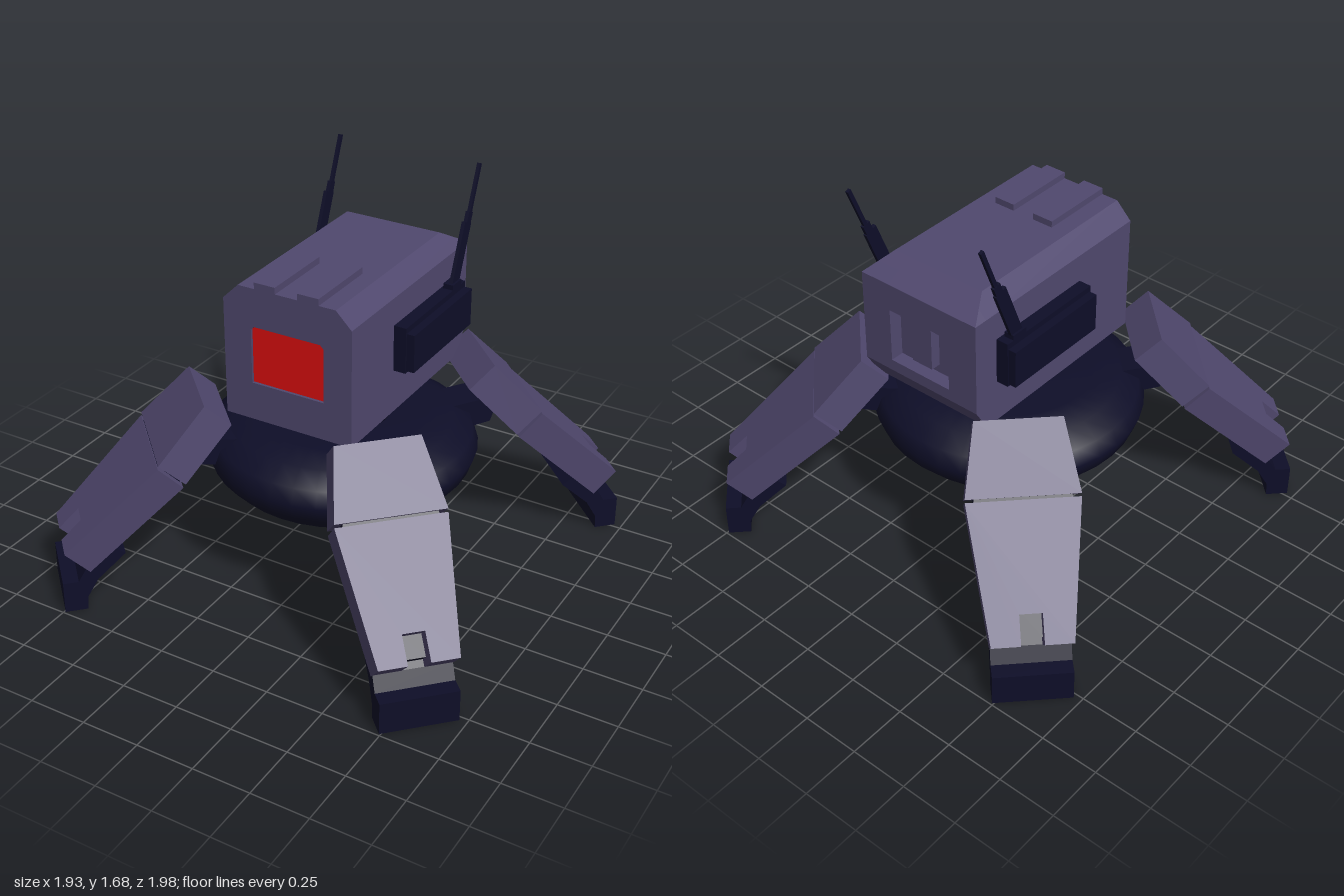
import * as THREE from 'three';
import { ConvexGeometry } from 'three/addons/geometries/ConvexGeometry.js';

const paint = (name, color) => {
  const m = new THREE.MeshStandardMaterial({ color });
  m.name = name;
  return m;
};

export function createModel() {
  const model = new THREE.Group();
  model.name = 'walker';
  const armour = paint('purple armour', 0x50486e);
  const dark = paint('dark metal', 0x0e0e28);
  const red = paint('red screen', 0xdc0f0f);

  const add = (parent, name, geo, mat) => {
    const m = new THREE.Mesh(geo, mat);
    m.name = name;
    parent.add(m);
    return m;
  };
  // Box given by its limits on each axis
  const box = (parent, name, mat, [x0, x1], [y0, y1], [z0, z1]) => {
    const m = add(parent, name, new THREE.BoxGeometry(x1 - x0, y1 - y0, z1 - z0), mat);
    m.position.set((x0 + x1) / 2, (y0 + y1) / 2, (z0 + z1) / 2);
    return m;
  };
  const hull = (pts) => new ConvexGeometry(pts.map((p) => new THREE.Vector3(...p)));
  const both = (pts) => pts.flatMap(([x, y, z]) => [[x, y, z], [-x, y, z]]);
  const shapeOf = (pts) => new THREE.Shape(pts.map((p) => new THREE.Vector2(...p)));
  const extrude = (shape, depth) => new THREE.ExtrudeGeometry(shape, { depth, bevelEnabled: false });
  const lathe = (pts, n) => new THREE.LatheGeometry(pts.map((p) => new THREE.Vector2(...p)), n);

  // Round base and neck
  add(model, 'base', lathe([[0, 0.37], [0.31, 0.37], [0.41, 0.39], [0.49, 0.425], [0.55, 0.49], [0.575, 0.56],
    [0.55, 0.63], [0.47, 0.68], [0.36, 0.706], [0, 0.706]], 36), dark);
  add(model, 'neck', lathe([[0.2, 0.69], [0.23, 0.74], [0.23, 0.78], [0.215, 0.82]], 24), dark);

  // Main cabin, with its rear edges cut back
  const cabin = new THREE.Group();
  cabin.name = 'cabin';
  model.add(cabin);
  add(cabin, 'cabinBody', hull(both([
    [0.29, 0.81, 0.4], [0.29, 1.32, 0.4], [0.22, 1.39, 0.4],
    [0.22, 1.39, -0.42], [0.255, 1.355, -0.48], [0.29, 1.32, -0.48], [0.29, 0.81, -0.48],
  ])), armour);

  // Front frame around the recessed screen
  const face = shapeOf([[-0.29, 0.81], [0.29, 0.81], [0.29, 1.32], [0.22, 1.39], [-0.22, 1.39], [-0.29, 1.32]]);
  face.holes.push(new THREE.Path([[-0.165, 0.975], [-0.165, 1.21], [-0.15, 1.225], [0.15, 1.225],
    [0.165, 1.21], [0.165, 0.975]].map((p) => new THREE.Vector2(...p))));
  add(cabin, 'frontFrame', extrude(face, 0.02), armour).position.z = 0.4;
  box(cabin, 'screen', red, [-0.165, 0.165], [0.975, 1.225], [0.4, 0.408]);

  // Rear frame around an open bay with a central block
  for (const s of [-1, 1]) {
    add(cabin, 'rearColumn', hull([
      [0.15, 0.81, -0.48], [0.29, 0.81, -0.48], [0.15, 0.91, -0.54], [0.29, 0.91, -0.54],
      [0.15, 1.32, -0.54], [0.29, 1.32, -0.54], [0.29, 1.32, -0.48], [0.255, 1.355, -0.48], [0.15, 1.355, -0.48],
    ].map(([x, y, z]) => [s * x, y, z])), armour);
  }
  add(cabin, 'rearLintel', hull(both([[0.15, 1.2, -0.48], [0.15, 1.2, -0.54], [0.15, 1.32, -0.54],
    [0.15, 1.355, -0.48]])), armour);
  add(cabin, 'rearSill', hull(both([[0.15, 0.81, -0.48], [0.15, 0.91, -0.54], [0.15, 0.96, -0.54],
    [0.15, 0.96, -0.48]])), armour);
  box(cabin, 'rearBlock', armour, [-0.05, 0.05], [1.0, 1.2], [-0.525, -0.48]);

  for (const s of [-1, 1]) {
    const span = (a, b) => (s > 0 ? [a, b] : [-b, -a]);
    // Roof strips and side pods
    box(cabin, 'roofStrip', armour, span(0.05, 0.145), [1.385, 1.418], [0.09, 0.42]);
    box(cabin, 'podBase', dark, span(0.285, 0.345), [1.0, 1.2], [-0.42, 0.09]);
    box(cabin, 'podCover', dark, span(0.345, 0.38), [1.01, 1.175], [-0.415, 0.085]);
    box(cabin, 'antennaMount', dark, span(0.3, 0.345), [1.2, 1.222], [-0.385, -0.31]);
    // Leaning antenna in three steps
    const antenna = new THREE.Group();
    antenna.name = 'antenna';
    antenna.position.set(s * 0.328, 1.19, -0.342);
    antenna.rotation.x = -0.385;
    cabin.add(antenna);
    box(antenna, 'antennaBase', dark, [-0.008, 0.008], [0, 0.28], [-0.03, 0.03]);
    box(antenna, 'antennaCollar', dark, [-0.008, 0.008], [0.28, 0.325], [-0.025, 0.012]);
    box(antenna, 'antennaRod', dark, [-0.007, 0.007], [0.32, 0.525], [-0.018, 0]);
  }

  // Legs: local x runs outward, z across the leg
  const slab = (leg, name, mat, pts, depth, x, y, tilt) => {
    const c = Math.cos(tilt), s = Math.sin(tilt);
    const geo = extrude(shapeOf(pts), depth);
    geo.applyMatrix4(new THREE.Matrix4().makeBasis(
      new THREE.Vector3(c, -s, 0), new THREE.Vector3(0, 0, -1), new THREE.Vector3(s, c, 0)).setPosition(x, y, 0));
    return add(leg, name, geo, mat);
  };
  const profile = (leg, name, mat, pts, width) => {
    add(leg, name, extrude(shapeOf(pts), width), mat).position.z = -width / 2;
  };
  const thighTilt = 0.82, shinTilt = 0.777;

  for (const sx of [-1, 1]) for (const sz of [-1, 1]) {
    const leg = new THREE.Group();
    leg.name = (sz > 0 ? 'front' : 'rear') + (sx > 0 ? 'Left' : 'Right') + 'Leg';
    leg.position.z = sz * 0.025;
    leg.rotation.y = Math.atan2(-sz, sx);
    model.add(leg);

    // Thigh and shin armour, the shin notched at its end
    slab(leg, 'thigh', armour, [[0, -0.175], [0.298, -0.225], [0.298, 0.225], [0, 0.175]],
      0.146, 0.488, 0.8, thighTilt);
    slab(leg, 'shin', armour, [[0, -0.225], [0.55, -0.16], [0.55, -0.045], [0.43, -0.045],
      [0.43, 0.045], [0.55, 0.045], [0.55, 0.16], [0, 0.225]], 0.14, 0.702, 0.568, shinTilt);

    // Dark joint, underside strip and ankle tongue
    slab(leg, 'knee', dark, [[0.2, -0.19], [0.4, -0.19], [0.4, 0.19], [0.2, 0.19]],
      0.12, 0.497, 0.808, thighTilt);
    slab(leg, 'shinStrip', dark, [[0.01, -0.075], [0.5, -0.065], [0.5, 0.065], [0.01, 0.075]],
      0.02, 0.698, 0.563, shinTilt);
    slab(leg, 'ankleTongue', dark, [[0.41, -0.044], [0.52, -0.044], [0.52, 0.044], [0.41, 0.044]],
      0.08, 0.702, 0.568, shinTilt);

    // Hip arm joining the base, and the bent foot
    profile(leg, 'hipArm', dark, [[0.4, 0.54], [0.62, 0.58], [0.66, 0.7], [0.42, 0.67]], 0.16);
    profile(leg, 'foot', dark, [[1.115, 0], [1.21, 0], [1.21, 0.14], [1.145, 0.14], [1.11, 0.2],
      [1.01, 0.3], [0.945, 0.25], [1.065, 0.14], [1.112, 0.06]], 0.316);
  }
  return model;
}
